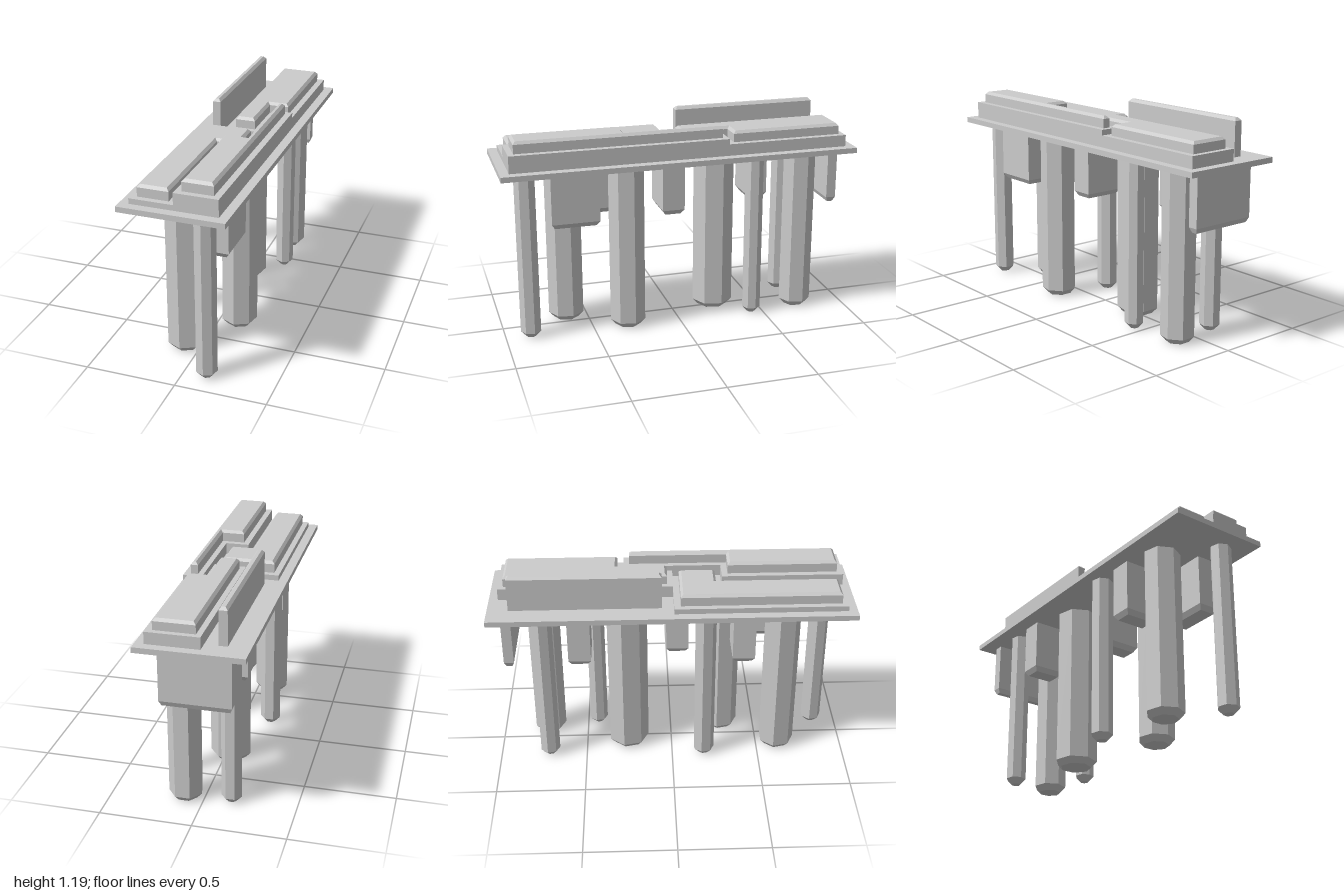
import * as THREE from 'three';

const material = new THREE.MeshStandardMaterial({ color: 0xcccccc, flatShading: true });

// Corner points of an axis-aligned rectangle in plan (x, z)
const rect = (x0, x1, z0, z1) => [[x0, z0], [x1, z0], [x1, z1], [x0, z1]];

// Upright prism over a plan outline. A bevel of width w and height h cuts both
// ends, outside the straight walls y0..y1, so one end can sink into its neighbour.
function prism(name, outline, y0, y1, w = 0, h = 0) {
  const shape = new THREE.Shape(outline.map(([x, z]) => new THREE.Vector2(x, -z)));
  const geometry = new THREE.ExtrudeGeometry(shape, {
    depth: y1 - y0,
    bevelEnabled: w > 0,
    bevelSegments: 1,
    bevelSize: w,
    bevelOffset: -w,
    bevelThickness: h,
  });
  geometry.rotateX(-Math.PI / 2);
  geometry.translate(0, y0, 0);
  const mesh = new THREE.Mesh(geometry, material);
  mesh.name = name;
  return mesh;
}

// Seven-sided pile with a tapered foot
function pile(name, x, z, r) {
  const group = new THREE.Group();
  group.name = name;
  const foot = 0.033, top = 0.965;
  const shaft = new THREE.Mesh(new THREE.CylinderGeometry(r, r, top - foot, 7, 1, true), material);
  shaft.position.y = (top + foot) / 2;
  shaft.name = 'pileShaft';
  const tip = new THREE.Mesh(new THREE.CylinderGeometry(r, r - 0.03, foot, 7), material);
  tip.position.y = foot / 2;
  tip.name = 'pileFoot';
  group.add(shaft, tip);
  group.position.set(x, 0, z);
  return group;
}

export function createModel() {
  const model = new THREE.Group();
  model.name = 'platformOnPiles';
  const deck = 0.985, under = 0.955;

  // Base slab
  model.add(prism('baseSlab', rect(-0.285, 0.285, -1, 1), under, deck));

  // Three interlocking terraces: plan outline and top height
  const terraces = [
    ['backTerrace', 1.05, [[-0.05, -0.95], [0.235, -0.95], [0.235, -0.26], [0.13, -0.26], [0.13, 0.01], [-0.05, 0.01]]],
    ['frontRightTerrace', 1.015, [[-0.235, 0.01], [0.13, 0.01], [0.13, 0.28], [0, 0.28], [0, 0.95], [-0.235, 0.95]]],
    ['frontLeftTerrace', 1.08, [[0.13, -0.26], [0.235, -0.26], [0.235, 0.95], [0, 0.95], [0, 0.28], [0.13, 0.28]]],
  ];
  for (const [name, top, outline] of terraces) model.add(prism(name, outline, deck, top));

  // Bevelled blocks on the terraces, and the tall fin on the slab
  const blocks = [
    ['backBlock', 1.05, 1.112, [[-0.02, -0.92], [0.2, -0.92], [0.2, -0.295], [0.09, -0.295], [0.09, -0.022], [-0.02, -0.022]]],
    ['frontRightBlock', 1.015, 1.08, [[-0.203, 0.045], [0.09, 0.045], [0.09, 0.245], [-0.035, 0.245], [-0.035, 0.918], [-0.203, 0.918]]],
    ['frontLeftBlock', 1.08, 1.145, [[0.16, -0.23], [0.2, -0.23], [0.2, 0.918], [0.033, 0.918], [0.033, 0.313], [0.16, 0.313]]],
    ['fin', deck, 1.187, rect(-0.169, -0.123, -0.885, -0.055)],
  ];
  const bevel = 0.015;
  for (const [name, y0, y1, outline] of blocks) {
    model.add(prism(name, outline, y0, y1 - bevel, 0.014, bevel));
  }

  // Boxes hanging under the slab: x range, z range, bevel width
  const boxes = [
    [0.08, 0.205, 0.465, 0.73, 0.018],
    [-0.2, 0, 0.335, 0.46, 0.018],
    [-0.085, 0.148, -0.03, 0.095, 0.018],
    [-0.197, -0.01, -0.575, -0.45, 0.018],
    [-0.2, 0.178, -0.93, -0.875, 0.012],
  ];
  boxes.forEach(([x0, x1, z0, z1, w], i) => {
    model.add(prism(`hangingBox${i + 1}`, rect(x0, x1, z0, z1), 0.668, under, w, 0.028));
  });

  // Piles: x, z, radius
  const piles = [
    [0.126, 0.858, 0.058],
    [-0.085, 0.618, 0.102],
    [0.112, 0.297, 0.101],
    [-0.167, 0.184, 0.06],
    [-0.032, -0.254, 0.118],
    [0.154, -0.436, 0.053],
    [0.102, -0.727, 0.093],
    [-0.147, -0.715, 0.057],
  ];
  piles.forEach(([x, z, r], i) => model.add(pile(`pile${i + 1}`, x, z, r)));

  return model;
}
